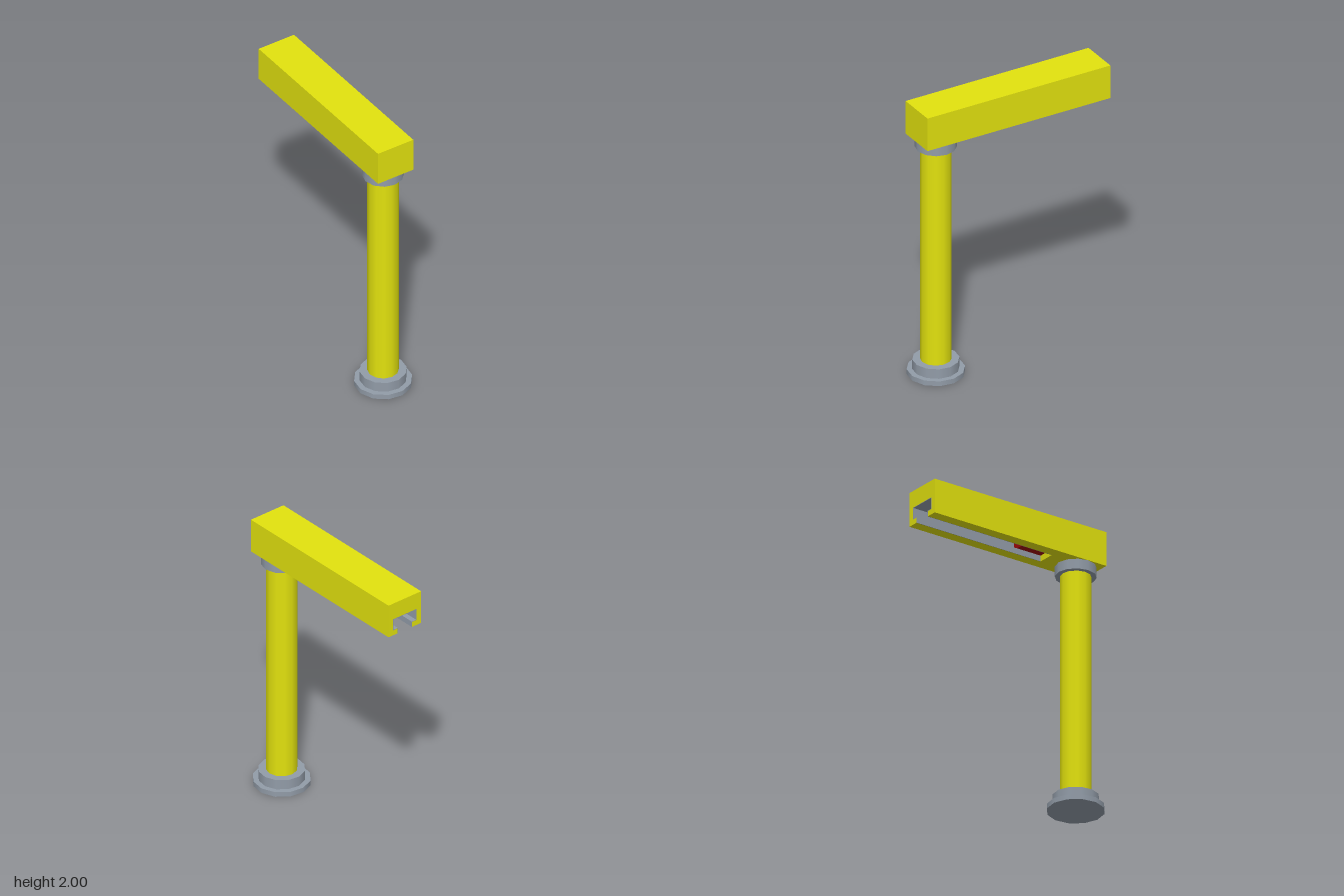
import * as THREE from 'three';

const YELLOW = 0xe2e20e, GREY = 0x929ca8, RED = 0xa00808;
const TURN = Math.atan2(0.395, 0.919); // heading of the arm
const HALF_W = 0.139, HALF_L = 0.697, BOTTOM = 1.757, TOP = 2;
const SLOT_END = 0.31; // where the slotted part meets the solid head
const POST_Z = 0.55;

function part(parent, name, geometry, color) {
  const mesh = new THREE.Mesh(geometry, new THREE.MeshStandardMaterial({ color }));
  mesh.name = name;
  parent.add(mesh);
  return mesh;
}

// Twelve-sided disc or column between two heights
function column(parent, name, radius, y0, y1, color, turn = 0) {
  const mesh = part(parent, name, new THREE.CylinderGeometry(radius, radius, y1 - y0, 12), color);
  mesh.position.set(0, (y0 + y1) / 2, POST_Z);
  mesh.rotation.y = turn;
  return mesh;
}

// T-slot outline from lower left, up round the cavity, to lower right
function slotOutline(inset) {
  const s = 0.063 - inset, c = 0.1 - inset;
  const lip = 1.795 + inset, ceiling = 1.88 - inset;
  return [[-s, BOTTOM], [-s, lip], [-c, lip], [-c, ceiling],
    [c, ceiling], [c, lip], [s, lip], [s, BOTTOM]];
}

function extrudeOutline(points) {
  const shape = new THREE.Shape(points.map(([x, y]) => new THREE.Vector2(x, y)));
  const geometry = new THREE.ExtrudeGeometry(shape, { depth: SLOT_END + HALF_L, bevelEnabled: false });
  return geometry.translate(0, 0, -HALF_L);
}

export function createModel() {
  const model = new THREE.Group();
  model.name = 'postWithSlottedArm';

  const body = new THREE.Group();
  body.name = 'body';
  body.rotation.y = TURN;
  body.position.x = -0.003;
  model.add(body);

  // Foot: two stepped discs kept square to the ground axes
  column(body, 'footFlange', 0.193, 0, 0.035, GREY, -TURN);
  column(body, 'footCollar', 0.156, 0.035, 0.105, GREY, -TURN);

  // Post and the collar beneath the arm
  column(body, 'post', 0.104, 0.1, 1.7, YELLOW);
  column(body, 'topCollar', 0.138, 1.687, BOTTOM, GREY);

  // Arm: channel open at the far end and below, solid above the post
  part(body, 'armChannel', extrudeOutline([
    [-HALF_W, TOP], [-HALF_W, BOTTOM], ...slotOutline(0), [HALF_W, BOTTOM], [HALF_W, TOP],
  ]), YELLOW);
  const head = part(body, 'armHead',
    new THREE.BoxGeometry(2 * HALF_W, TOP - BOTTOM, HALF_L - SLOT_END), YELLOW);
  head.position.set(0, (TOP + BOTTOM) / 2, (HALF_L + SLOT_END) / 2);

  // Thin grey lining of the slot
  part(body, 'slotLining',
    extrudeOutline([...slotOutline(0), ...slotOutline(0.003).reverse()]), GREY);

  // Red block at the inner end of the slot
  const block = part(body, 'slideBlock', new THREE.BoxGeometry(0.192, 0.077, 0.19), RED);
  block.position.set(0, 1.8375, SLOT_END - 0.095);

  return model;
}
